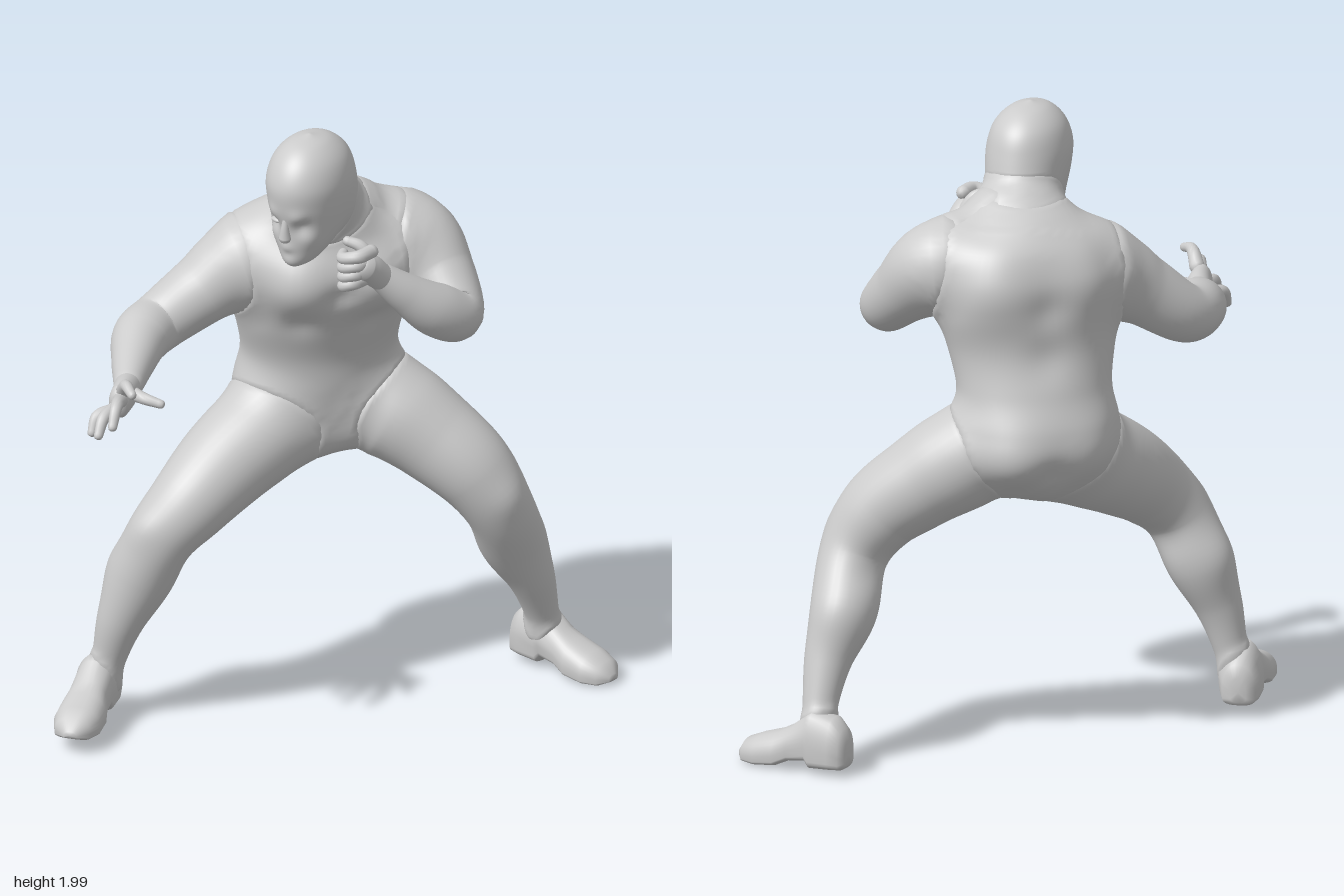
import * as THREE from 'three';

const V = (x, y, z) => new THREE.Vector3(x, y, z);
const UP = V(0, 1, 0);
const TURN = Math.PI / 4;                 // the body is turned towards its left
const grey = new THREE.MeshStandardMaterial({ color: 0xcccccc });
grey.name = 'matte grey';

// Closed smooth skin over a list of rings, with a centre point at both ends
function skin(rings) {
  const n = rings[0].length, pos = [], idx = [];
  rings.forEach(r => r.forEach(p => pos.push(p.x, p.y, p.z)));
  for (let i = 0; i < rings.length - 1; i++) for (let j = 0; j < n; j++) {
    const a = i * n + j, b = i * n + (j + 1) % n;
    idx.push(a, b, b + n, a, b + n, a + n);
  }
  [rings[0], rings[rings.length - 1]].forEach((ring, end) => {
    const c = ring.reduce((s, p) => s.add(p), V(0, 0, 0)).divideScalar(n);
    const k = pos.length / 3, o = end * (rings.length - 1) * n;
    pos.push(c.x, c.y, c.z);
    for (let j = 0; j < n; j++) {
      const a = o + j, b = o + (j + 1) % n;
      if (end) idx.push(k, a, b); else idx.push(k, b, a);
    }
  });
  const g = new THREE.BufferGeometry();
  g.setAttribute('position', new THREE.Float32BufferAttribute(pos, 3));
  g.setIndex(idx);
  g.computeVertexNormals();
  return g;
}

// Move every vertex by rule(point, normal), which returns an offset
function reshape(g, rule) {
  const pos = g.attributes.position, nor = g.attributes.normal;
  for (let i = 0; i < pos.count; i++) {
    const p = V(0, 0, 0).fromBufferAttribute(pos, i);
    p.add(rule(p, V(0, 0, 0).fromBufferAttribute(nor, i)));
    pos.setXYZ(i, p.x, p.y, p.z);
  }
  g.computeVertexNormals();
  return g;
}

// Raise or sink soft muscle shapes on a skin: [point, radius, amount]
const sculpt = (g, bumps) => reshape(g, (p, n) =>
  n.multiplyScalar(bumps.reduce((s, [c, r, k]) => s + k * Math.exp(-p.distanceToSquared(c) / (r * r)), 0)));

// Swell two crossing skins along their seam so that they flow together
function fillet(a, b, k) {
  const towards = other => {
    const P = other.attributes.position.array.slice(), N = other.attributes.normal.array.slice();
    return (p, n) => {
      let best = Infinity, q = 0;
      for (let i = 0; i < P.length; i += 3) {
        const d = (p.x - P[i]) ** 2 + (p.y - P[i + 1]) ** 2 + (p.z - P[i + 2]) ** 2;
        if (d < best) { best = d; q = i; }
      }
      const m = V(N[q], N[q + 1], N[q + 2]);
      const plane = Math.abs(m.dot(p.clone().sub(V(P[q], P[q + 1], P[q + 2]))));
      const gap = Math.max(plane, Math.sqrt(best) - 0.03);
      return n.add(m).normalize().multiplyScalar(k / 4 * Math.max(0, 1 - gap / k) ** 2);
    };
  };
  const toA = towards(a), toB = towards(b);
  reshape(a, toB);
  reshape(b, toA);
}

const ringOf = (n, f) => Array.from({ length: n }, (_, j) => f(j / n * Math.PI * 2));
const spline = pts => new THREE.CatmullRomCurve3(pts, false, 'catmullrom', 0.5);

// Stack of level ellipses: [x, y, z, half width, half depth], turned by yaw
function stack(rows, yaw, n = 72) {
  const path = spline(rows.map(r => V(r[0], r[1], r[2])));
  const size = spline(rows.map(r => V(r[3], r[4], 0)));
  const U = V(Math.cos(yaw), 0, -Math.sin(yaw)), F = V(Math.sin(yaw), 0, Math.cos(yaw));
  const steps = (rows.length - 1) * 8, rings = [];
  for (let i = 0; i <= steps; i++) {
    const c = path.getPoint(i / steps), s = size.getPoint(i / steps);
    rings.push(ringOf(n, t => c.clone().addScaledVector(U, s.x * Math.cos(t)).addScaledVector(F, -s.y * Math.sin(t))));
  }
  return skin(rings);
}

// Round limb along a path: [x, y, z, radius, flattening]
function limb(rows, ref = UP, n = 36, fine = 9) {
  const path = spline(rows.map(r => V(r[0], r[1], r[2])));
  const size = spline(rows.map(r => V(r[3], r[3] * (r[4] || 1), 0)));
  const steps = (rows.length - 1) * fine, rings = [];
  const add = (c, T, k, s) => {
    const U = ref.clone().cross(T).normalize(), W = T.clone().cross(U);
    rings.push(ringOf(n, t => c.clone().addScaledVector(U, k * s.x * Math.cos(t)).addScaledVector(W, k * s.y * Math.sin(t))));
  };
  for (let i = 0; i <= steps; i++) {
    const t = i / steps, c = path.getPoint(t), T = path.getTangent(t), s = size.getPoint(t);
    const dome = [0.12, 0.5, 0.8];
    const cap = (k, dir) => add(c.clone().addScaledVector(T, dir * s.x * 0.8 * Math.sqrt(1 - k * k)), T, k, s);
    if (i === 0) dome.forEach(k => cap(k, -1));
    add(c, T, 1, s);
    if (i === steps) dome.reverse().forEach(k => cap(k, 1));
  }
  return skin(rings);
}

// Boot with a flat sole; rows run heel to toe: [distance, half width, height, sole lift]
function boot(heel, toe) {
  const rows = [[0, 0.025, 0.09, 0.012], [0.03, 0.052, 0.13, 0], [0.12, 0.063, 0.165, 0], [0.3, 0.064, 0.18, 0],
    [0.34, 0.06, 0.17, 0.022], [0.5, 0.064, 0.13, 0.02], [0.62, 0.074, 0.11, 0.002], [0.8, 0.075, 0.092, 0],
    [0.93, 0.058, 0.075, 0.005], [1, 0.022, 0.04, 0.018]];
  const T = toe.clone().sub(heel).setY(0).normalize(), U = UP.clone().cross(T);
  const pw = (v, e) => Math.sign(v) * Math.abs(v) ** e;
  return skin(rows.map(([d, w, h, lift]) => ringOf(36, t => {
    const s = Math.sin(t), up = lift + (h - lift) * (0.35 + (s > 0 ? 0.65 * s : 0.35 * pw(s, 0.35)));
    return heel.clone().lerp(toe, d).addScaledVector(U, w * pw(Math.cos(t), 0.8)).addScaledVector(UP, up);
  })));
}

export function createModel() {
  const model = new THREE.Group();
  model.name = 'crouchingFighter';
  const part = (name, geometry, parent = model) => parent.add(Object.assign(new THREE.Mesh(geometry, grey), { name }));
  const group = name => {
    const g = Object.assign(new THREE.Group(), { name });
    model.add(g);
    return g;
  };

  // Torso muscles: side is towards the model's left, ahead is towards its front
  const body = (side, y, ahead) => V(-0.06 + 0.707 * (side + ahead), y, -0.185 + 0.707 * (ahead - side));
  const muscles = [[body(0, 1.45, 0.22), 0.04, -0.016], [body(0, 1.45, -0.22), 0.06, -0.012],
    [body(0, 1.3, -0.22), 0.07, -0.012], [body(0, 0.93, -0.29), 0.05, -0.018]];
  for (const s of [-1, 1]) muscles.push(
    [body(s * 0.12, 1.48, 0.19), 0.1, 0.045], [body(s * 0.12, 1.33, 0.19), 0.05, -0.014],
    [body(s * 0.25, 1.42, -0.08), 0.11, 0.015], [body(s * 0.15, 1.52, -0.18), 0.13, 0.04],
    [body(s * 0.13, 0.96, -0.27), 0.11, 0.035]);
  // Head features: chin, mouth, then eye sockets, brows and cheeks
  const face = [[V(0.02, 1.615, 0.125), 0.035, 0.014], [V(0.018, 1.643, 0.15), 0.018, -0.006], [V(0.018, 1.66, 0.15), 0.02, 0.006]];
  for (const s of [-1, 1]) face.push(
    [V(0.018 + s * 0.05, 1.742, 0.145), 0.026, -0.014], [V(0.018 + s * 0.045, 1.778, 0.165), 0.026, 0.007],
    [V(0.018 + s * 0.06, 1.7, 0.12), 0.03, 0.006]);
  const across = V(0.7, 0, 0.7);

  // Main parts: the right arm reaches forward, the left is folded up, the legs are wide apart
  const g = {
    torso: sculpt(stack([
      [-0.1, 0.82, -0.22, 0.05, 0.04], [-0.105, 0.87, -0.235, 0.14, 0.125], [-0.125, 0.97, -0.262, 0.23, 0.175],
      [-0.13, 1.07, -0.25, 0.252, 0.195], [-0.115, 1.18, -0.23, 0.245, 0.188], [-0.09, 1.3, -0.2, 0.262, 0.195],
      [-0.06, 1.43, -0.185, 0.278, 0.213], [-0.05, 1.54, -0.18, 0.292, 0.208], [-0.05, 1.63, -0.185, 0.255, 0.175],
      [-0.04, 1.69, -0.17, 0.16, 0.125], [-0.02, 1.72, -0.14, 0.08, 0.08]], TURN), muscles),
    neck: limb([[-0.04, 1.58, -0.17, 0.14], [-0.015, 1.68, -0.115, 0.118], [0.005, 1.76, -0.06, 0.108], [0.014, 1.84, 0, 0.1]], V(0, 0, 1)),
    skull: sculpt(stack([
      [0.018, 1.598, 0.085, 0.012, 0.012], [0.018, 1.612, 0.08, 0.05, 0.05], [0.017, 1.66, 0.05, 0.086, 0.1],
      [0.016, 1.72, 0.015, 0.11, 0.145], [0.015, 1.8, 0.01, 0.126, 0.17], [0.015, 1.87, 0.015, 0.128, 0.17],
      [0.015, 1.935, 0.015, 0.107, 0.142], [0.015, 1.98, 0.018, 0.062, 0.086], [0.015, 2, 0.02, 0.004, 0.004]], 0.12), face),
    rightTrapezius: limb([[-0.01, 1.7, -0.1, 0.07], [-0.13, 1.615, -0.1, 0.08], [-0.25, 1.53, -0.03, 0.085]]),
    leftTrapezius: limb([[0, 1.7, -0.13, 0.07], [0.08, 1.635, -0.25, 0.08], [0.16, 1.575, -0.33, 0.085]]),
    rightArm: limb([[-0.15, 1.5, -0.09, 0.1], [-0.25, 1.495, 0, 0.126], [-0.332, 1.415, 0.09, 0.11],
      [-0.42, 1.325, 0.19, 0.093], [-0.42, 1.31, 0.3, 0.09], [-0.37, 1.29, 0.42, 0.07], [-0.305, 1.272, 0.55, 0.046]]),
    leftArm: limb([[0.07, 1.53, -0.28, 0.1], [0.17, 1.55, -0.338, 0.128], [0.278, 1.455, -0.32, 0.106],
      [0.37, 1.375, -0.26, 0.085], [0.35, 1.42, -0.165, 0.083], [0.3, 1.495, -0.08, 0.062], [0.25, 1.565, -0.015, 0.043]]),
    rightLeg: sculpt(limb([[-0.15, 0.98, -0.23, 0.13], [-0.205, 0.92, -0.09, 0.16], [-0.26, 0.84, 0.06, 0.15],
      [-0.305, 0.745, 0.2, 0.128], [-0.365, 0.64, 0.275, 0.108], [-0.43, 0.49, 0.295, 0.102], [-0.48, 0.35, 0.325, 0.075],
      [-0.515, 0.22, 0.335, 0.054], [-0.54, 0.12, 0.34, 0.052]], across),
    [[V(-0.38, 0.7, 0.38), 0.06, 0.012], [V(-0.53, 0.53, 0.27), 0.08, 0.015], [V(-0.36, 0.58, 0.17), 0.06, -0.012]]),
    leftLeg: sculpt(limb([[0.0, 0.98, -0.32, 0.13], [0.08, 0.94, -0.36, 0.158], [0.19, 0.865, -0.4, 0.146],
      [0.31, 0.765, -0.44, 0.13], [0.375, 0.635, -0.49, 0.108], [0.365, 0.48, -0.585, 0.104], [0.385, 0.34, -0.655, 0.075],
      [0.386, 0.21, -0.71, 0.055], [0.38, 0.12, -0.735, 0.052]], across),
    [[V(0.46, 0.7, -0.43), 0.06, 0.012], [V(0.35, 0.5, -0.68), 0.08, 0.012], [V(0.3, 0.6, -0.56), 0.06, -0.012]]),
    rightBoot: boot(V(-0.572, 0.048, 0.27), V(-0.467, 0.048, 0.63)),
    leftBoot: boot(V(0.27, 0.03, -0.755), V(0.645, 0.003, -0.722)),
  };
  fillet(g.neck, g.skull, 0.04);
  fillet(g.torso, g.neck, 0.1);
  for (const s of ['right', 'left']) {
    fillet(g.torso, g[s + 'Trapezius'], 0.08);
    fillet(g.neck, g[s + 'Trapezius'], 0.06);
    fillet(g.torso, g[s + 'Arm'], 0.09);
    fillet(g[s + 'Trapezius'], g[s + 'Arm'], 0.06);
    fillet(g.torso, g[s + 'Leg'], 0.1);
    fillet(g[s + 'Leg'], g[s + 'Boot'], 0.035);
  }
  Object.entries(g).forEach(([name, geometry]) => part(name, geometry));

  // Nose and eyes
  const details = group('face');
  part('nose', limb([[0.02, 1.765, 0.162, 0.01], [0.018, 1.73, 0.163, 0.014], [0.016, 1.7, 0.16, 0.02]], V(0, 0, 1), 14), details);
  for (const s of [-1, 1]) part('eye', new THREE.SphereGeometry(1, 20, 14).scale(0.024, 0.009, 0.014)
    .rotateY(0.1 + s * 0.4).translate(0.018 + s * 0.05, 1.74, 0.125 - s * 0.005), details);

  // Open right hand
  const openHand = group('rightHand');
  part('palm', limb([[-0.31, 1.272, 0.54, 0.042], [-0.285, 1.27, 0.6, 0.04, 1.3], [-0.265, 1.268, 0.66, 0.034, 1.6]]), openHand);
  [[[-0.25, 1.31, 0.66], [-0.215, 1.35, 0.7], [-0.17, 1.342, 0.735]],
    [[-0.25, 1.285, 0.68], [-0.215, 1.3, 0.755], [-0.2, 1.25, 0.8]],
    [[-0.27, 1.25, 0.68], [-0.268, 1.245, 0.745], [-0.262, 1.2, 0.785]],
    [[-0.29, 1.232, 0.665], [-0.315, 1.225, 0.71], [-0.315, 1.18, 0.74]],
    [[-0.29, 1.27, 0.58], [-0.215, 1.272, 0.605], [-0.155, 1.262, 0.595]]].forEach((f, i) =>
    part(i < 4 ? 'finger' : 'thumb', limb(f.map((p, k) => [...p, 0.024 - k * 0.005]), V(0.6, 0.3, 0.2), 12), openHand));

  // Loosely closed left hand
  const fist = group('leftHand');
  part('palm', limb([[0.255, 1.56, -0.015, 0.042], [0.24, 1.6, 0.025, 0.046], [0.235, 1.62, 0.055, 0.044]]), fist);
  for (let i = 0; i < 4; i++) {
    const y = 1.665 - i * 0.031, x = i * 0.006;
    part('finger', limb([[0.25 - x, y, 0.03, 0.022], [0.24 - x, y, 0.088, 0.021], [0.19, y - 0.012, 0.1, 0.019],
      [0.168 + x, y - 0.012, 0.065, 0.016]], UP, 12), fist);
  }
  part('thumb', limb([[0.24, 1.6, 0.0, 0.024], [0.205, 1.66, 0.015, 0.02], [0.16, 1.68, 0.035, 0.015]], V(0, 0, 1), 12), fist);
  return model;
}
